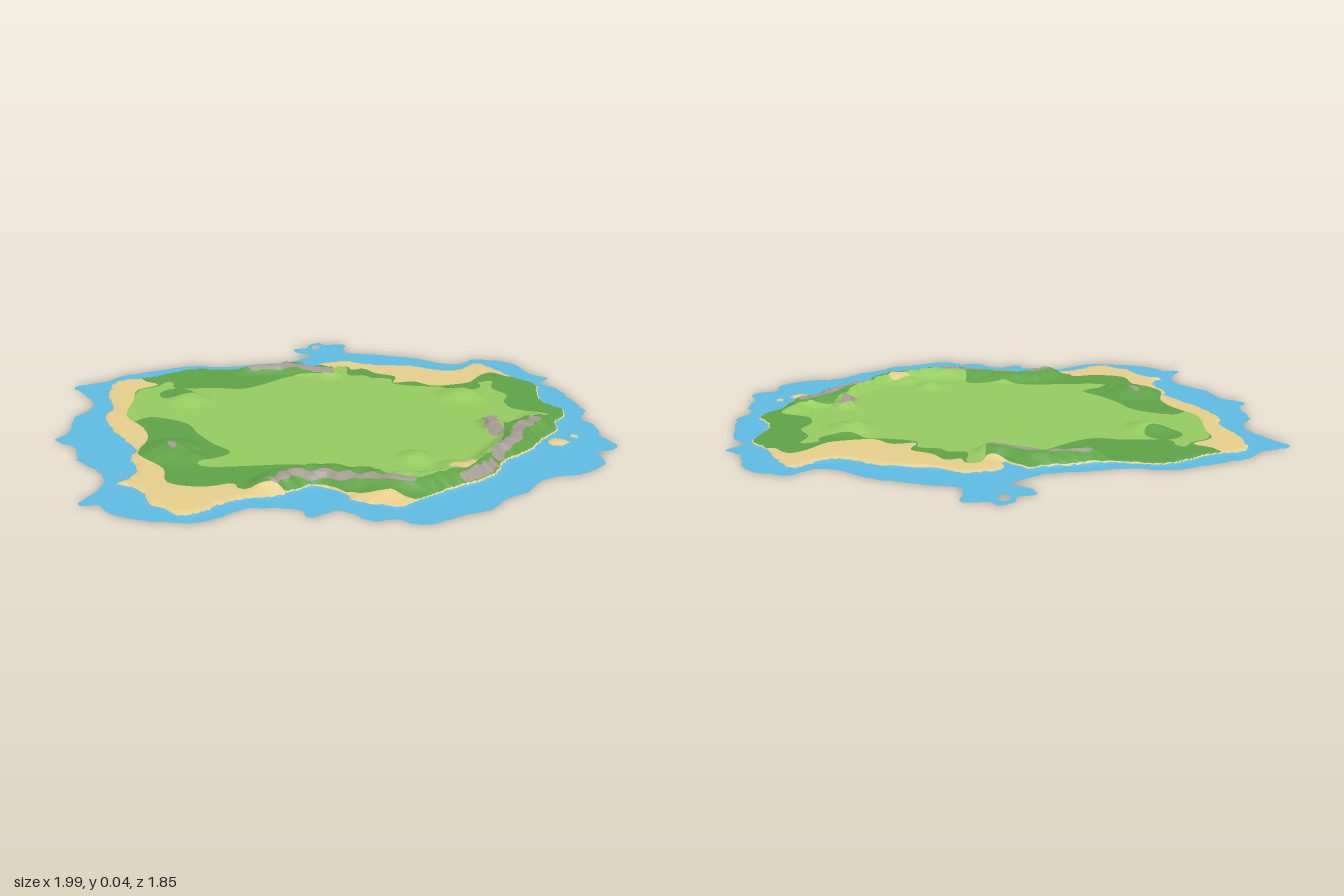
import * as THREE from 'three';
import { mergeVertices } from 'three/addons/utils/BufferGeometryUtils.js';

// Round off a closed outline
function rounded(p) {
  const points = [];
  for (let i = 0; i < p.length; i += 2) points.push(new THREE.Vector3(p[i], 0, p[i + 1]));
  const curve = new THREE.CatmullRomCurve3(points, true, 'centripetal');
  const count = points.length * 3;
  return Array.from({ length: count }, (_, i) => curve.getPoint(i / count)).flatMap((v) => [v.x, v.z]);
}

// Outlines as x, z pairs in hundredths of a unit
const WATER = rounded([-100,-29, -89,-36, -85,-43, -80,-46, -66,-54, -58,-58, -45,-57, -32,-61, -20,-64, -13,-70,
  -9,-75, -16,-79, -17,-84, -12,-86, -11,-91, -7,-94, -4,-91, 4,-92, 5,-80, 14,-78, 31,-74, 38,-71, 47,-65, 54,-66,
  59,-72, 66,-71, 74,-68, 78,-60, 81,-52, 87,-48, 83,-40, 88,-36, 90,-30, 93,-18, 95,-8, 92,-2, 96,7, 96,17,
  100,25, 98,29, 92,32, 93,40, 89,46, 83,51, 75,53, 68,59, 65,65, 57,71, 52,79, 45,82, 31,90, 24,86, 17,88,
  11,83, 6,81, -1,87, -4,81, -13,80, -21,81, -26,86, -34,91, -53,89, -61,85, -65,80, -71,81, -67,67, -69,57,
  -80,45, -83,35, -92,28, -89,20, -91,6, -87,-7, -94,-21]);
const LAND = rounded([-84,-36, -77,-39, -72,-41, -65,-47, -56,-53, -45,-52, -34,-53, -26,-56, -18,-58, -14,-60,
  -9,-56, -5,-54, -6,-61, 1,-65, 7,-66, 14,-62, 25,-61, 35,-60, 44,-55, 52,-56, 57,-63, 61,-65, 66,-59, 71,-51,
  76,-44, 81,-39, 81,-32, 80,-24, 82,-16, 87,-9, 86,-2, 82,5, 82,12, 76,20, 72,28, 66,36, 60,42, 57,51, 50,59,
  42,64, 35,70, 30,74, 26,78, 17,76, 11,74, 9,70, 3,65, -2,64, -7,68, -12,72, -21,74, -29,79, -34,85, -41,86,
  -45,82, -50,79, -52,73, -58,66, -63,65, -59,59, -59,51, -63,43, -62,37, -66,30, -73,20, -77,12, -80,4, -79,-5,
  -83,-16, -85,-24]);
const BEACHES = [
  [-76,-39, -73,-35, -67,-31, -74,-24, -73,-13, -72,5, -64,16, -60,27, -61,40, -58,45, -50,53, -47,64, -35,67,
    -26,64, -24,68, -12,68, -8,72, -10,95, -75,95, -100,20, -95,-42],
  [-7,-54, 0,-51, 2,-57, 7,-57, 8,-53, 13,-55, 18,-49, 26,-45, 25,-37, 33,-39, 40,-34, 49,-36, 55,-39, 60,-48,
    65,-52, 72,-46, 74,-56, 62,-70, -8,-70],
  [9,69, 16,71, 24,70, 29,73, 33,73, 28,80, 8,78],
  [41,52, 47,46, 50,50, 46,55],
].map(rounded);
const MEADOW = rounded([-19,-41, -13,-45, 0,-43, 1,-57, 6,-57, 7,-46, 14,-46, 16,-43, 24,-42, 25,-36, 40,-33, 55,-37,
  64,-41, 63,-32, 68,-24, 66,-16, 69,-8, 80,-4, 80,0, 72,6, 64,9, 62,20, 60,30, 54,43, 48,52, 38,59, 30,64, 19,59,
  17,49, 3,51, -7,48, -24,50, -37,51, -40,48, -30,39, -37,31, -44,21, -48,13, -55,8, -64,6, -69,11, -73,8,
  -73,-24, -67,-29, -64,-35, -61,-32, -61,-28, -53,-27, -44,-28, -34,-27, -26,-33]);

// Ridge crests: height, half width, line
const RIDGES = [
  [0.034, 0.07, [-33,-50, -20,-53, -10,-50, -1,-46]],
  [0.034, 0.09, [-14,65, -9,59, 2,57, 10,59, 22,62, 32,62, 45,57, 52,50]],
  [0.034, 0.08, [53,50, 59,38, 66,25, 67,15, 75,8]],
  [0.03, 0.06, [64,17, 60,14, 59,8]],
];
// Cliff faces: half width, line
const CLIFFS = [
  [0.018, [-32,-48, -22,-50, -13,-50, -7,-46, 0,-44]],
  [0.018, [-13,66, -9,61, 2,60, 10,62, 20,63, 29,64]],
  [0.017, [46,59, 52,54, 56,47]],
  [0.02, [57,42, 60,35, 65,28, 67,18, 71,13, 75,8]],
  [0.024, [60,18, 58,12, 59,8]],
  [0.011, [-51,34, -49,40]],
];
// Mounds: x, z, radius, height
const MOUNDS = [[-0.5, 0.38, 0.13, 0.028], [-0.43, 0.44, 0.07, 0.018], [0.5, -0.22, 0.11, 0.027],
  [-0.53, -0.13, 0.1, 0.025], [0.31, 0.41, 0.08, 0.02], [0.44, 0.5, 0.09, 0.022], [0.2, 0.69, 0.08, 0.02],
  [0.76, 0.02, 0.08, 0.018]];

// Distance from a point to a line or closed outline
function lineDistance(x, z, p, closed = false) {
  let best = Infinity;
  const n = p.length;
  for (let i = 0; i < (closed ? n : n - 2); i += 2) {
    const ax = p[i] / 100, az = p[i + 1] / 100;
    const dx = p[(i + 2) % n] / 100 - ax, dz = p[(i + 3) % n] / 100 - az;
    const t = Math.min(1, Math.max(0, ((x - ax) * dx + (z - az) * dz) / (dx * dx + dz * dz)));
    const ex = x - ax - t * dx, ez = z - az - t * dz;
    best = Math.min(best, ex * ex + ez * ez);
  }
  return Math.sqrt(best);
}

// Positive inside the outline, negative outside
function inside(x, z, p) {
  let odd = false;
  for (let i = 0, j = p.length - 2; i < p.length; j = i, i += 2) {
    const xi = p[i] / 100, zi = p[i + 1] / 100, xj = p[j] / 100, zj = p[j + 1] / 100;
    if ((zi > z) !== (zj > z) && x < (xj - xi) * (z - zi) / (zj - zi) + xi) odd = !odd;
  }
  return lineDistance(x, z, p, true) * (odd ? 1 : -1);
}

const disc = (x, z, cx, cz, rx, rz = rx) => (1 - Math.hypot((x - cx) / rx, (z - cz) / rz)) * Math.min(rx, rz);
const ripple = (x, z) =>
  (Math.sin(x * 71 + 3 * Math.sin(z * 43)) + Math.sin(z * 83 + 3 * Math.sin(x * 37 + 1))) / 2;
const fall = (t) => THREE.MathUtils.smoothstep(t, 0, 1);

// Terrain sample: position followed by one signed field per region
const SEA = 3, SHORE = 4, ROCK = 5, SAND = 6, GRASS = 7;
function sample(x, z) {
  const r = ripple(x, z);
  const sea = Math.min(inside(x, z, WATER) + 0.004 * r, -disc(x, z, -0.08, -0.87, 0.018, 0.03));
  const coast = inside(x, z, LAND) + 0.004 * r;
  const shore = Math.max(coast, disc(x, z, 0.8, 0.235, 0.035, 0.03) + 0.006 * r,
    disc(x, z, 0.865, 0.175, 0.014, 0.018));
  // Beaches, a thin sandy rim and the offshore sandbanks
  const sand = Math.max(0.005 - coast, ...BEACHES.map((b) => inside(x, z, b)));
  const grass = Math.min(inside(x, z, MEADOW), -disc(x, z, -0.58, -0.2, 0.065), -disc(x, z, 0.51, -0.35, 0.08, 0.06));
  const rock = Math.max(...CLIFFS.map(([w, line]) => w * (1 + 0.4 * r) - lineDistance(x, z, line)));

  let hill = 0;
  for (const [h, w, line] of RIDGES) hill = Math.max(hill, h * fall(1.35 * (1 - lineDistance(x, z, line) / w)));
  for (const [cx, cz, rad, h] of MOUNDS) hill = Math.max(hill, h * fall(1.2 * (1 - Math.hypot(x - cx, z - cz) / rad)));
  hill *= 0.87 + 0.13 * r;
  const base = THREE.MathUtils.clamp(shore * 1.3, 0, 0.008);
  return [x, base + hill * THREE.MathUtils.clamp(shore / 0.05, 0, 1), z, sea, shore, rock, sand, grass];
}

// Cut a convex polygon where field k changes sign: [inside part, outside part]
function split(poly, k) {
  const parts = [[], []];
  poly.forEach((a, i) => {
    const b = poly[(i + 1) % poly.length];
    parts[a[k] >= 0 ? 0 : 1].push(a);
    if ((a[k] >= 0) !== (b[k] >= 0)) {
      const t = a[k] / (a[k] - b[k]);
      const m = a.map((v, j) => v + (b[j] - v) * t);
      m[k] = 0;
      parts[0].push(m);
      parts[1].push(m);
    }
  });
  return parts;
}

export function createModel() {
  const group = new THREE.Group();
  group.name = 'island';
  const parts = {
    shallowWater: [0x5fbbe3, []],
    beach: [0xe6ce8b, []],
    cliffs: [0xa39a93, []],
    meadow: [0x95cb5f, []],
    darkGrass: [0x60a347, []],
  };
  const emit = (name, poly) => {
    for (let i = 1; i + 1 < poly.length; i++) {
      for (const v of [poly[0], poly[i], poly[i + 1]]) parts[name][1].push(v[0], v[1], v[2]);
    }
  };

  // Sort every terrain triangle into its regions
  const step = 0.0125, nx = 162, nz = 152;
  const grid = [];
  for (let j = 0; j <= nz; j++) {
    for (let i = 0; i <= nx; i++) grid.push(sample((i - nx / 2) * step, (j - nz / 2) * step));
  }
  for (let j = 0; j < nz; j++) {
    for (let i = 0; i < nx; i++) {
      const a = j * (nx + 1) + i, d = a + nx + 1;
      for (const tri of [[a, d, d + 1], [a, d + 1, a + 1]]) {
        const [wet] = split(tri.map((n) => grid[n]), SEA);
        const [land, water] = split(wet, SHORE);
        const [rock, soil] = split(land, ROCK);
        const [sand, green] = split(soil, SAND);
        const [light, dark] = split(green, GRASS);
        emit('shallowWater', water);
        emit('cliffs', rock);
        emit('beach', sand);
        emit('meadow', light);
        emit('darkGrass', dark);
      }
    }
  }

  // One mesh per region; rock stays faceted, the rest is smooth
  for (const [name, [color, positions]] of Object.entries(parts)) {
    let geometry = new THREE.BufferGeometry();
    geometry.setAttribute('position', new THREE.Float32BufferAttribute(positions, 3));
    geometry = mergeVertices(geometry, 1e-5);
    geometry.computeVertexNormals();
    const material = new THREE.MeshStandardMaterial({ color, side: THREE.DoubleSide, flatShading: name === 'cliffs' });
    material.name = name + 'Colour';
    const mesh = new THREE.Mesh(geometry, material);
    mesh.name = name;
    group.add(mesh);
  }
  return group;
}
